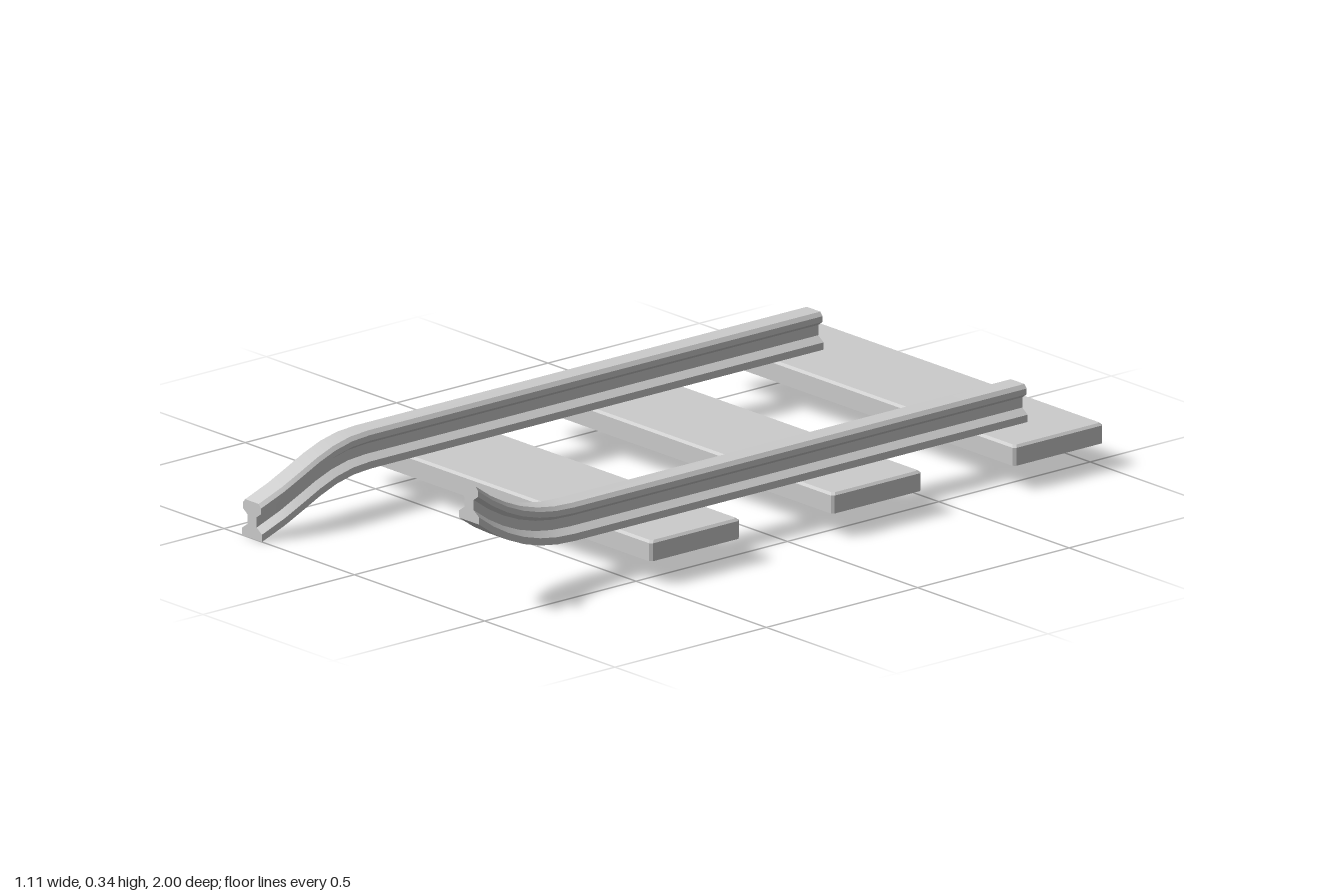
import * as THREE from 'three';
import { toCreasedNormals } from 'three/addons/utils/BufferGeometryUtils.js';

const material = new THREE.MeshStandardMaterial({ color: 0xcccccc, side: THREE.DoubleSide });

// Half of the rail section, from foot to head: [half width, height]
const HALF = [
  [0.0385, 0], [0.0385, 0.019], [0.018, 0.033], [0.018, 0.06],
  [0.035, 0.072], [0.035, 0.087], [0.026, 0.097],
];

// Rail swept along stations [x, y, z]; every section stays upright
function makeRail(name, stations) {
  const outline = [...HALF, ...HALF.map(([x, y]) => [-x, y]).reverse()];
  const shape = new THREE.Shape(outline.map(([x, y]) => new THREE.Vector2(x, y)));
  const steps = stations.length - 1;
  const geometry = new THREE.ExtrudeGeometry(shape, { depth: steps, steps, bevelEnabled: false });
  const p = geometry.attributes.position;
  for (let i = 0; i < p.count; i++) {
    const [x, y, z] = stations[Math.round(p.getZ(i))];
    p.setXYZ(i, p.getX(i) + x, p.getY(i) + y, z);
  }
  geometry.clearGroups();
  const mesh = new THREE.Mesh(toCreasedNormals(geometry, 0.5), material);
  mesh.name = name;
  return mesh;
}

// Sleeper: a bottomless plank with softened corners and top edge
function makeSleeper(z) {
  const hx = 0.555, hz = 0.148, c = 0.007;
  const ring = (inset, y) => {
    const a = hx - inset, b = hz - inset;
    return [[a, b - c], [a - c, b], [c - a, b], [-a, b - c],
      [-a, c - b], [c - a, -b], [a - c, -b], [a, c - b]].map(([px, pz]) => [px, y, pz]);
  };
  const points = [...ring(0, 0.064), ...ring(0, 0.111), ...ring(c, 0.117), [0, 0.117, 0]];
  const index = [];
  for (let i = 0; i < 8; i++) {
    const j = (i + 1) % 8;
    for (const r of [0, 8]) index.push(r + i, r + i + 8, r + j, r + j, r + i + 8, r + j + 8);
    index.push(16 + i, 24, 16 + j);
  }
  const geometry = new THREE.BufferGeometry();
  geometry.setAttribute('position', new THREE.Float32BufferAttribute(points.flat(), 3));
  geometry.setIndex(index);
  const mesh = new THREE.Mesh(toCreasedNormals(geometry, 0.3), material);
  mesh.name = 'sleeper';
  mesh.position.z = z;
  return mesh;
}

export function createModel() {
  const group = new THREE.Group();
  group.name = 'brokenTrack';

  // Three evenly spaced sleepers
  for (const z of [-0.85, -0.25, 0.35]) group.add(makeSleeper(z));

  // Straight run, then a bent tip: left curls up and out, right sags and kinks
  const footY = 0.118, startZ = -0.855, bendZ = 0.64;
  const kink = [0, 0.002, 0.008, 0.016, 0.022, 0.019, 0];
  const left = [[0.39, footY, startZ]];
  const right = [[-0.393, footY, startZ]];
  for (let i = 0; i <= 6; i++) {
    const t = i / 6, z = bendZ + t * (1 - bendZ);
    left.push([0.39 + 0.05 * t ** 1.8, footY + 0.13 * t * t, z]);
    right.push([-0.393 + kink[i], footY - 0.118 * t * t, z]);
  }
  group.add(makeRail('leftRail', left), makeRail('rightRail', right));
  return group;
}
